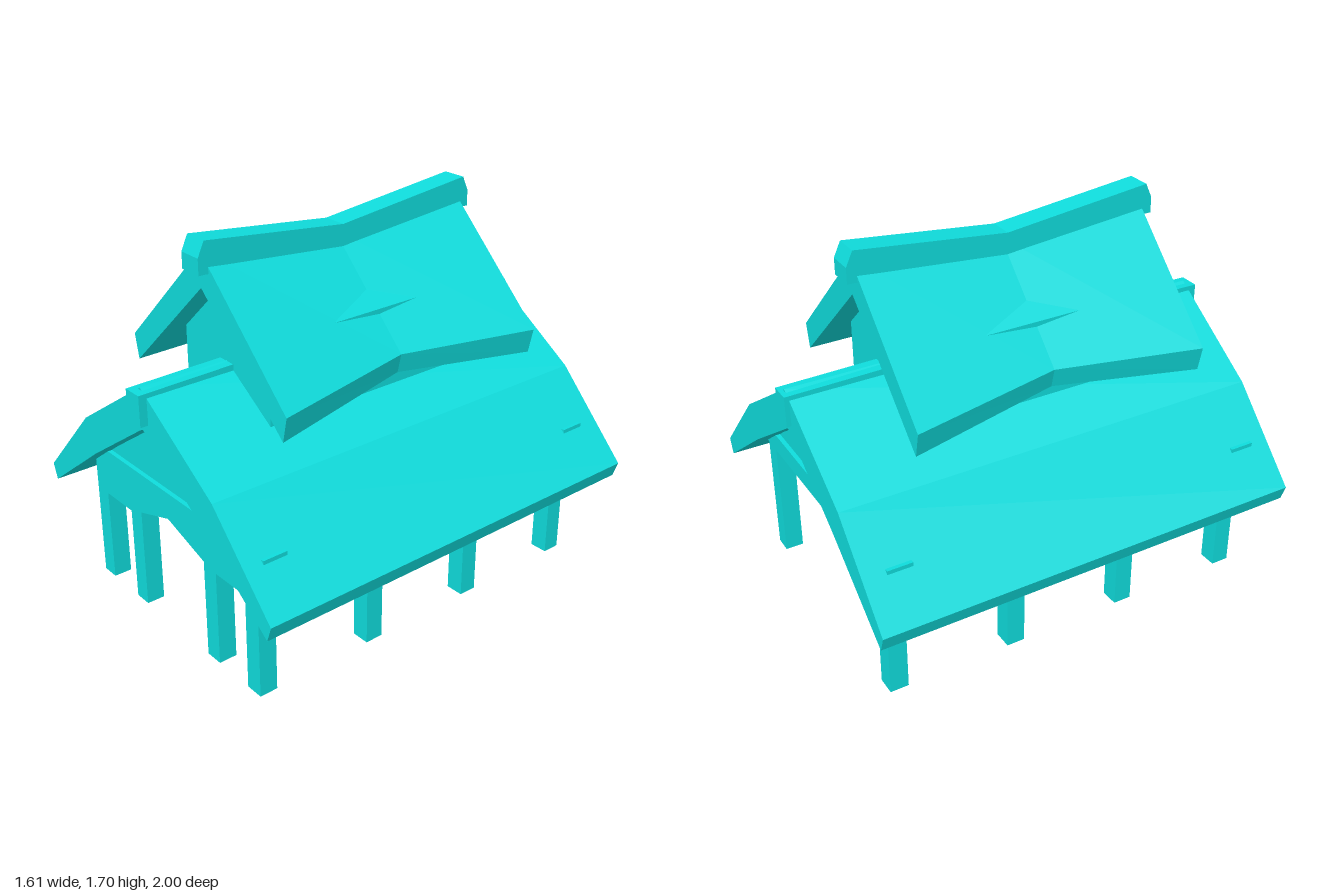
import * as THREE from 'three';

const material = new THREE.MeshStandardMaterial({ color: 0x0fdcdc, flatShading: true });

// Closed solid through cross-sections [z, points], points counter-clockwise seen from +z
function loft(name, sections) {
  const tris = [];
  const n = sections[0][1].length;
  const at = (s, i) => [...sections[s][1][i % n], sections[s][0]];
  for (let s = 0; s < sections.length - 1; s++) {
    for (let i = 0; i < n; i++) {
      const a = at(s, i), b = at(s, i + 1), c = at(s + 1, i + 1), d = at(s + 1, i);
      tris.push(...a, ...b, ...c, ...a, ...c, ...d);
    }
  }
  const last = sections.length - 1;
  for (const s of [0, last]) {
    const outline = sections[s][1].map(p => new THREE.Vector2(...p));
    for (const [a, b, c] of THREE.ShapeUtils.triangulateShape(outline, [])) {
      const order = s === 0 ? [a, c, b] : [a, b, c];
      for (const i of order) tris.push(...at(s, i));
    }
  }
  const geometry = new THREE.BufferGeometry();
  geometry.setAttribute('position', new THREE.Float32BufferAttribute(tris, 3));
  geometry.computeVertexNormals();
  const mesh = new THREE.Mesh(geometry, material);
  mesh.name = name;
  return mesh;
}

// Constant section from z0 to z1
const prism = (name, points, z0, z1) => loft(name, [[z0, points], [z1, points]]);

// Completes a right-hand half outline (bottom to top) with its mirror image
const mirror = half => [
  ...half,
  ...half.filter(p => p[0] !== 0).reverse().map(([x, y]) => [-x, y]),
];

// Roof slab section: outer half from eave to ridge, inner half from eave to ridge
function slab(outer, inner) {
  const flip = ([x, y]) => [-x, y];
  return [
    ...outer,
    ...outer.slice(0, -1).reverse().map(flip),
    ...inner.map(flip),
    ...inner.slice(0, -1).reverse(),
  ];
}

const rect = (hw, y0, y1) => [[hw, y0], [hw, y1], [-hw, y1], [-hw, y0]];

function post(name, x, z, height) {
  const mesh = new THREE.Mesh(new THREE.BoxGeometry(0.082, height, 0.082), material);
  mesh.position.set(x, height / 2, z);
  mesh.name = name;
  return mesh;
}

export function createModel() {
  const group = new THREE.Group();
  group.name = 'hall';

  // Lower roof with a break in its slope
  group.add(prism('lowerRoof', slab(
    [[0.807, 0.49], [0.46, 0.85], [0, 1.155]],
    [[0.782, 0.42], [0.4, 0.705], [0.025, 0.96], [0, 0.975]],
  ), -0.98, 0.965));
  group.add(loft('lowerRidgeBeam', [
    [-1, rect(0.045, 1.01, 1.145)],
    [0, rect(0.045, 1.01, 1.16)],
    [1, rect(0.045, 1.01, 1.145)],
  ]));

  // Upper storey, its top tucked into the upper roof
  group.add(prism('upperWalls',
    mirror([[0.285, 0.88], [0.285, 1.32], [0, 1.527]]), -0.56, 0.56));

  // Saddle-shaped upper roof, wider and higher at the gables
  const gable = slab([[0.527, 1.13], [0, 1.64]], [[0.503, 1.02], [0, 1.487]]);
  const middle = slab([[0.42, 1.165], [0, 1.58]], [[0.4, 1.08], [0, 1.43]]);
  group.add(loft('upperRoof', [[-0.667, gable], [0, middle], [0.665, gable]]));
  group.add(loft('upperRidgeBeam', [
    [-0.71, rect(0.055, 1.56, 1.63)],
    [-0.68, rect(0.055, 1.56, 1.695)],
    [0, rect(0.055, 1.49, 1.62)],
    [0.68, rect(0.055, 1.56, 1.695)],
    [0.71, rect(0.055, 1.56, 1.63)],
  ]));

  // Cross beams and gable walls at both ends
  for (const side of [-1, 1]) {
    const z = side * 0.825;
    group.add(prism('crossBeam', rect(0.655, 0.58, 0.665), z - 0.055, z + 0.055));
    group.add(prism('gableWall',
      mirror([[0.48, 0.65], [0.4, 0.72], [0, 1.0]]), z - 0.035, z + 0.035));
  }

  // Front panel with a raised centre
  group.add(prism('frontPanel', [
    [0.525, 0.445], [0.525, 0.64], [-0.525, 0.64], [-0.525, 0.445],
    [-0.3, 0.445], [0, 0.54], [0.3, 0.445],
  ], 0.79, 0.878));

  // Posts along both sides and two more below the front panel
  for (const side of [-1, 1]) {
    for (const z of [-0.825, -0.275, 0.275, 0.825]) {
      group.add(post('sidePost', side * 0.55, z, 0.64));
    }
    group.add(post('frontPost', side * 0.273, 0.825, 0.6));
  }
  return group;
}
